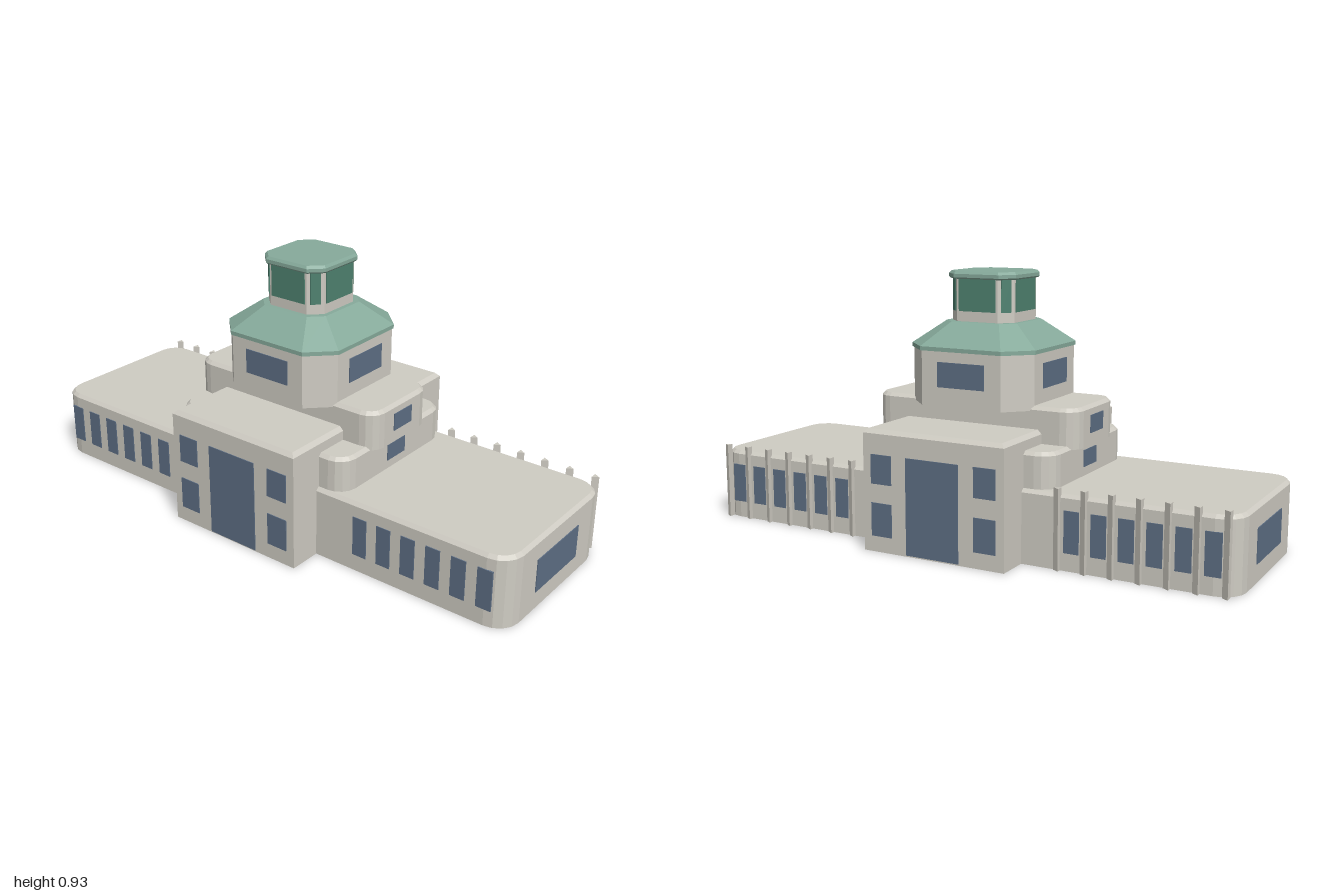
import * as THREE from 'three';

const paint = (name, color) => {
  const m = new THREE.MeshStandardMaterial({ color, side: THREE.DoubleSide });
  m.name = name;
  return m;
};

// Outline with rounded (n > 1) or chamfered (n = 1) corners, counter-clockwise from above
function ring(h, d, r, y, n) {
  const pts = [];
  for (let q = 0; q < 4; q++) {
    const sx = q < 2 ? 1 : -1;
    const sz = q === 0 || q === 3 ? 1 : -1;
    for (let i = 0; i <= (r > 0 ? n : 0); i++) {
      const a = (q + i / n) * Math.PI / 2;
      pts.push([sx * (h - r) + r * Math.sin(a), y, sz * (d - r) + r * Math.cos(a)]);
    }
  }
  return pts;
}

// Faceted shell through levels [halfX, halfZ, corner, y], roofed on top
function shell(levels, n, closed = false) {
  const rings = levels.map(([h, d, r, y]) => ring(h, d, r, y, n));
  const last = rings.length - 1;
  const pos = [];
  const count = rings[0].length;
  for (let i = 0; i < count; i++) {
    const j = (i + 1) % count;
    for (let k = 0; k < last; k++) {
      const [a, b, c, d] = [rings[k][i], rings[k][j], rings[k + 1][j], rings[k + 1][i]];
      pos.push(...a, ...b, ...c, ...a, ...c, ...d);
    }
    pos.push(0, levels[last][3], 0, ...rings[last][i], ...rings[last][j]);
    if (closed) pos.push(0, levels[0][3], 0, ...rings[0][j], ...rings[0][i]);
  }
  const g = new THREE.BufferGeometry();
  g.setAttribute('position', new THREE.Float32BufferAttribute(pos, 3));
  g.computeVertexNormals();
  return g;
}

// Straight walls with a small bevel round the roof edge
const tier = (h, d, r, y0, y1, bevel, closed) => shell([
  [h, d, r, y0], [h, d, r, y1 - bevel], [h - bevel, d - bevel, Math.max(r - bevel, 0), y1],
], 4, closed);

export function createModel() {
  const group = new THREE.Group();
  const wall = paint('stone wall', 0xcfccc3);
  const windowBlue = paint('window blue', 0x5d6e84);
  const copper = paint('green roof', 0x86aa9b);
  const glass = paint('green glass', 0x4f8270);

  const add = (name, geometry, material) => {
    const m = new THREE.Mesh(geometry, material);
    m.name = name;
    group.add(m);
    return m;
  };

  // Thin plate facing direction `angle` (0 = front), at `dist` from the axis and `u` sideways
  const plate = (name, angle, dist, u, w, y0, y1, material = windowBlue) => {
    const m = add(name, new THREE.BoxGeometry(w, y1 - y0, 0.006), material);
    const s = Math.sin(angle), c = Math.cos(angle);
    m.position.set(s * dist + c * u, (y0 + y1) / 2, c * dist - s * u);
    m.rotation.y = angle;
  };

  // Stacked masses
  add('longWing', tier(0.305, 0.996, 0.08, 0, 0.252, 0.012), wall);
  add('crossBlock', tier(0.423, 0.268, 0, 0, 0.42, 0.014), wall);
  add('middleTier', tier(0.292, 0.37, 0.065, 0.245, 0.373, 0.012, true), wall);
  add('upperTier', tier(0.163, 0.393, 0.06, 0.36, 0.497, 0.012, true), wall);

  // Octagonal tower and its sloping roof
  add('tower', shell([[0.235, 0.235, 0.083, 0.48], [0.235, 0.235, 0.083, 0.672]], 1, true), wall);
  add('towerRoof', shell([
    [0.24, 0.24, 0.085, 0.668], [0.24, 0.24, 0.085, 0.682], [0.137, 0.137, 0.045, 0.76],
  ], 1, true), copper);

  // Lookout cabin
  add('cabin', shell([[0.121, 0.121, 0.042, 0.755], [0.121, 0.121, 0.042, 0.91]], 1), wall);
  add('cabinRoof', shell([
    [0.127, 0.127, 0.043, 0.905], [0.131, 0.131, 0.044, 0.91],
    [0.131, 0.131, 0.044, 0.922], [0.124, 0.124, 0.042, 0.931],
  ], 1, true), copper);
  for (let i = 0; i < 4; i++) {
    const a = i * Math.PI / 2;
    plate('cabinGlass', a, 0.121, 0, 0.142, 0.795, 0.906, glass);
    plate('cabinCornerGlass', a + Math.PI / 4, 0.1 * Math.SQRT2, 0, 0.036, 0.795, 0.906, glass);
    plate('towerWindow', a, 0.235, 0, 0.18, 0.546, 0.632);
  }

  // End windows, front and back
  for (const a of [0, Math.PI]) {
    plate('wingEndWindow', a, 0.996, 0, 0.266, 0.063, 0.18);
    plate('middleTierWindow', a, 0.37, 0, 0.1, 0.283, 0.341);
    plate('upperTierWindow', a, 0.393, 0, 0.1, 0.402, 0.463);
  }

  // Side windows
  for (const a of [Math.PI / 2, -Math.PI / 2]) {
    plate('entranceGlass', a, 0.423, 0, 0.2, 0.005, 0.336);
    for (const s of [-1, 1]) {
      plate('blockUpperWindow', a, 0.423, s * 0.197, 0.08, 0.235, 0.336);
      plate('blockLowerWindow', a, 0.423, s * 0.197, 0.08, 0.055, 0.17);
      for (let i = 0; i < 6; i++) {
        plate('wingWindow', a, 0.305, s * (0.447 + i * 0.0934), 0.053, 0.06, 0.2);
      }
    }
  }

  // Three-sided fins between the windows on one side only
  const fin = new THREE.CylinderGeometry(0.0145, 0.0145, 0.272, 3).toNonIndexed();
  fin.computeVertexNormals();
  for (const s of [-1, 1]) {
    for (let i = 0; i < 7; i++) {
      add('fin', fin, wall).position.set(0.309, 0.136, s * (0.4 + i * 0.0934));
    }
  }
  return group;
}
